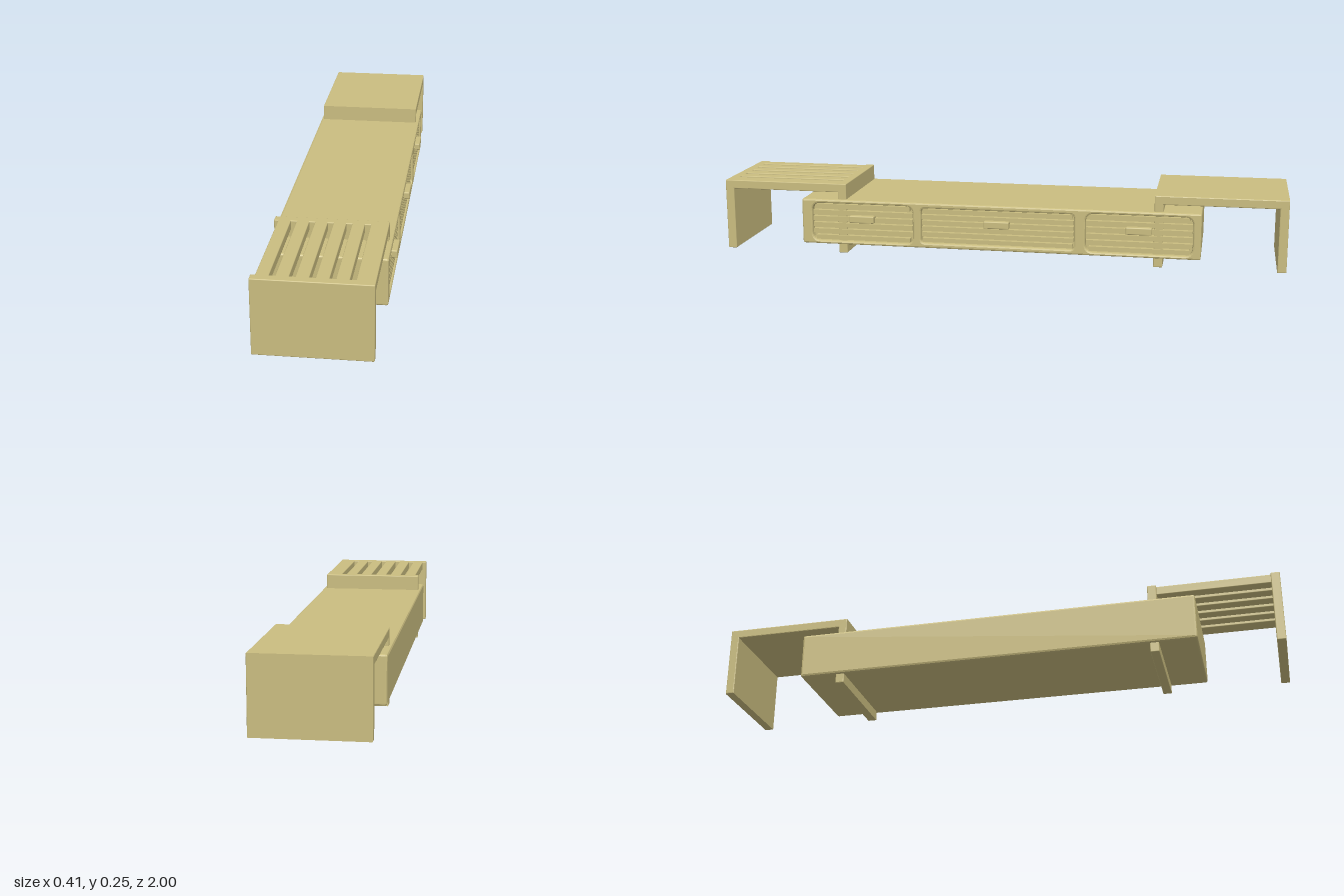
import * as THREE from 'three';
import { RoundedBoxGeometry } from 'three/addons/geometries/RoundedBoxGeometry.js';

const material = new THREE.MeshStandardMaterial({ color: 0xcabd80 });

function add(parent, name, geometry, x = 0, y = 0, z = 0) {
  const mesh = new THREE.Mesh(geometry, material);
  mesh.name = name;
  mesh.position.set(x, y, z);
  parent.add(mesh);
  return mesh;
}

// Rounded rectangle outline, used for both shapes and holes
function roundRect(path, x0, y0, x1, y1, r) {
  path.moveTo(x0 + r, y0);
  path.lineTo(x1 - r, y0);
  path.quadraticCurveTo(x1, y0, x1, y0 + r);
  path.lineTo(x1, y1 - r);
  path.quadraticCurveTo(x1, y1, x1 - r, y1);
  path.lineTo(x0 + r, y1);
  path.quadraticCurveTo(x0, y1, x0, y1 - r);
  path.lineTo(x0, y0 + r);
  path.quadraticCurveTo(x0, y0, x0 + r, y0);
  return path;
}

// Extrudes a side outline (drawn in -z, y) from x0 to x1 with softened rims
function extrudeAcross(shape, x0, x1, bevel) {
  const geometry = new THREE.ExtrudeGeometry(shape, {
    depth: x1 - x0 - 2 * bevel, bevelThickness: bevel, bevelSize: bevel,
    bevelOffset: -bevel, bevelSegments: 2, curveSegments: 6,
  });
  return geometry.rotateY(Math.PI / 2).translate(x0 + bevel, 0, 0);
}

const X0 = -0.193, X1 = 0.178, TOP = 0.253, T = 0.031;

// Solid bridge table: an upside-down U seen from the side
function solidTable() {
  const shape = new THREE.Shape([
    [0.548, 0], [0.548 + T, 0], [0.548 + T, TOP - T], [1 - T, TOP - T],
    [1 - T, 0], [1, 0], [1, TOP], [0.548, TOP],
  ].map(([a, b]) => new THREE.Vector2(a, b)));
  const group = new THREE.Group();
  group.name = 'solidTable';
  add(group, 'solidTableShell', extrudeAcross(shape, X0, X1, 0.003));
  return group;
}

// Slatted bridge table: two panels joined by spaced slats
function slattedTable() {
  const group = new THREE.Group();
  group.name = 'slattedTable';
  const panel = new RoundedBoxGeometry(X1 - X0, TOP, T, 2, 0.003);
  for (const z of [0.548 + T / 2, 1 - T / 2]) add(group, 'tablePanel', panel, (X0 + X1) / 2, TOP / 2, z);
  const pitch = 0.0597;
  for (let i = 0; i < 6; i++) {
    const a = -0.179 + i * pitch;
    const b = i === 5 ? X1 : a + 0.041;
    add(group, 'tableSlat', new RoundedBoxGeometry(b - a, T, 0.41, 2, 0.003), (a + b) / 2, TOP - T / 2, 0.774);
  }
  return group;
}

// Long cabinet with three louvred drawers on its +x side
function cabinet() {
  const group = new THREE.Group();
  group.name = 'cabinet';
  const outline = () => roundRect(new THREE.Shape(), -0.71, 0.034, 0.71, 0.197, 0.008);
  add(group, 'cabinetBody', extrudeAcross(outline(), -0.203, 0.166, 0.008));

  const drawers = [
    { z: 0.487, width: 0.37, low: 0.046, high: 0.183, radius: 0.03 },
    { z: 0, width: 0.545, low: 0.052, high: 0.178, radius: 0.015 },
    { z: -0.497, width: 0.37, low: 0.046, high: 0.183, radius: 0.03 },
  ];
  const frame = outline();
  for (const d of drawers) {
    frame.holes.push(roundRect(new THREE.Path(), -d.z - d.width / 2, d.low, -d.z + d.width / 2, d.high, d.radius));
  }
  add(group, 'drawerFrame', extrudeAcross(frame, 0.14, 0.19, 0.006));

  for (const d of drawers) {
    // Horizontal louvres set back inside the opening
    const count = 6, step = (d.high - d.low) / count;
    for (let i = 0; i < count; i++) {
      const outer = i === 0 || i === count - 1;
      const length = d.width - (outer ? d.radius * 0.8 : 0.004);
      add(group, 'drawerLouvre', new THREE.BoxGeometry(0.02, step * 0.7, length),
        0.173, d.low + (i + 0.5) * step, d.z);
    }
    // Pull handle
    add(group, 'drawerHandle', new RoundedBoxGeometry(0.037, 0.026, 0.09, 2, 0.004), 0.1835, 0.13, d.z);
  }
  return group;
}

export function createModel() {
  const model = new THREE.Group();
  model.name = 'benchWithTables';
  model.add(cabinet(), solidTable(), slattedTable());
  return model;
}
